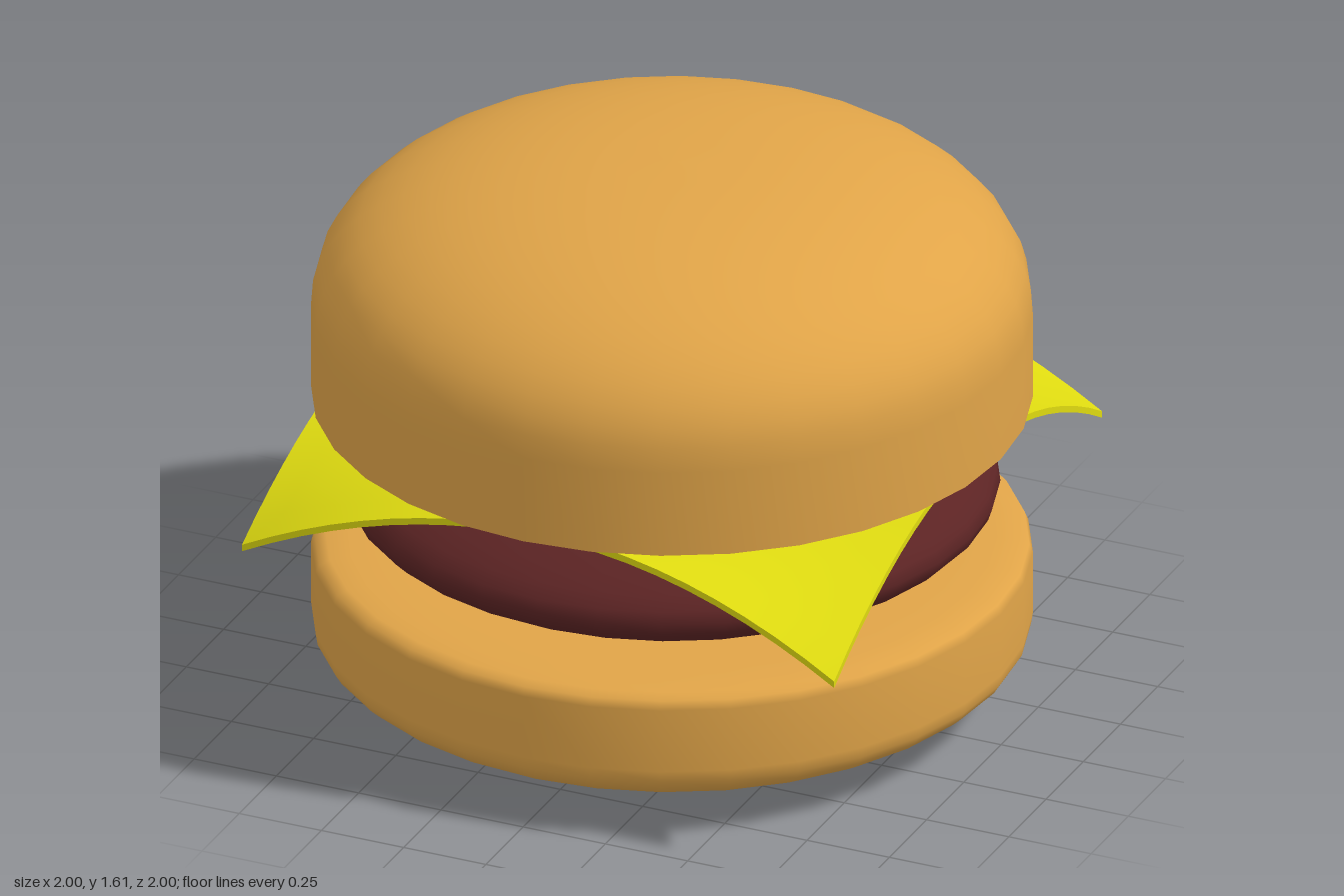
import * as THREE from 'three';

const SIDES = 32;

// Quarter of a rounded dome profile, from the rim (t = 0) to the axis (t = 1)
function domePoint(t, rimY, height) {
  const a = t * Math.PI / 2, p = 2 / 2.35;
  const r = t === 1 ? 0 : Math.cos(a) ** p;
  return new THREE.Vector2(r, rimY + height * Math.sin(a) ** p);
}

export function createModel() {
  const bread = new THREE.MeshStandardMaterial({ name: 'bread', color: 0xe0a448 });
  const meat = new THREE.MeshStandardMaterial({ name: 'meat', color: 0x5c2424 });
  const cheeseYellow = new THREE.MeshStandardMaterial({ name: 'cheeseYellow', color: 0xdeda10 });

  const model = new THREE.Group();
  const add = (name, geometry, material, y = 0) => {
    const mesh = new THREE.Mesh(geometry, material);
    mesh.name = name;
    mesh.position.y = y;
    model.add(mesh);
    return mesh;
  };

  const steps = 14;

  // Bottom bun: rounded base, straight wall, softened top rim
  const base = [];
  for (let i = steps; i >= 0; i--) base.push(domePoint(i / steps, 0.22, -0.216));
  [[1, 0.41], [0.99, 0.435], [0.96, 0.447], [0.9, 0.453], [0.8, 0.456], [0, 0.456]]
    .forEach(([r, y]) => base.push(new THREE.Vector2(r, y)));
  add('bottomBun', new THREE.LatheGeometry(base, SIDES), bread);

  // Patty: flattened ball resting in the bottom bun
  const patty = new THREE.SphereGeometry(1, SIDES, 20);
  patty.scale(0.91, 0.22, 0.91);
  add('patty', patty, meat, 0.63);

  // Cheese slice: thin square whose corners droop
  const cheese = new THREE.BoxGeometry(1.8, 0.02, 1.8, 20, 1, 20);
  const pos = cheese.attributes.position;
  for (let i = 0; i < pos.count; i++) {
    const x = pos.getX(i) / 0.9, z = pos.getZ(i) / 0.9;
    const droop = x > 0 ? 0.28 : 0.235;
    pos.setY(i, pos.getY(i) - droop * x * x * z * z);
  }
  cheese.computeVertexNormals();
  add('cheeseSlice', cheese, cheeseYellow, 0.87);

  // Top bun: straight wall and dome, closed by a flat underside
  const crown = [new THREE.Vector2(1, 0.893)];
  for (let i = 0; i <= steps; i++) crown.push(domePoint(i / steps, 1.15, 0.46));
  add('topBun', new THREE.LatheGeometry(crown, SIDES), bread);
  add('topBunUnderside', new THREE.CircleGeometry(1, SIDES), bread, 0.893).rotation.x = Math.PI / 2;

  return model;
}
